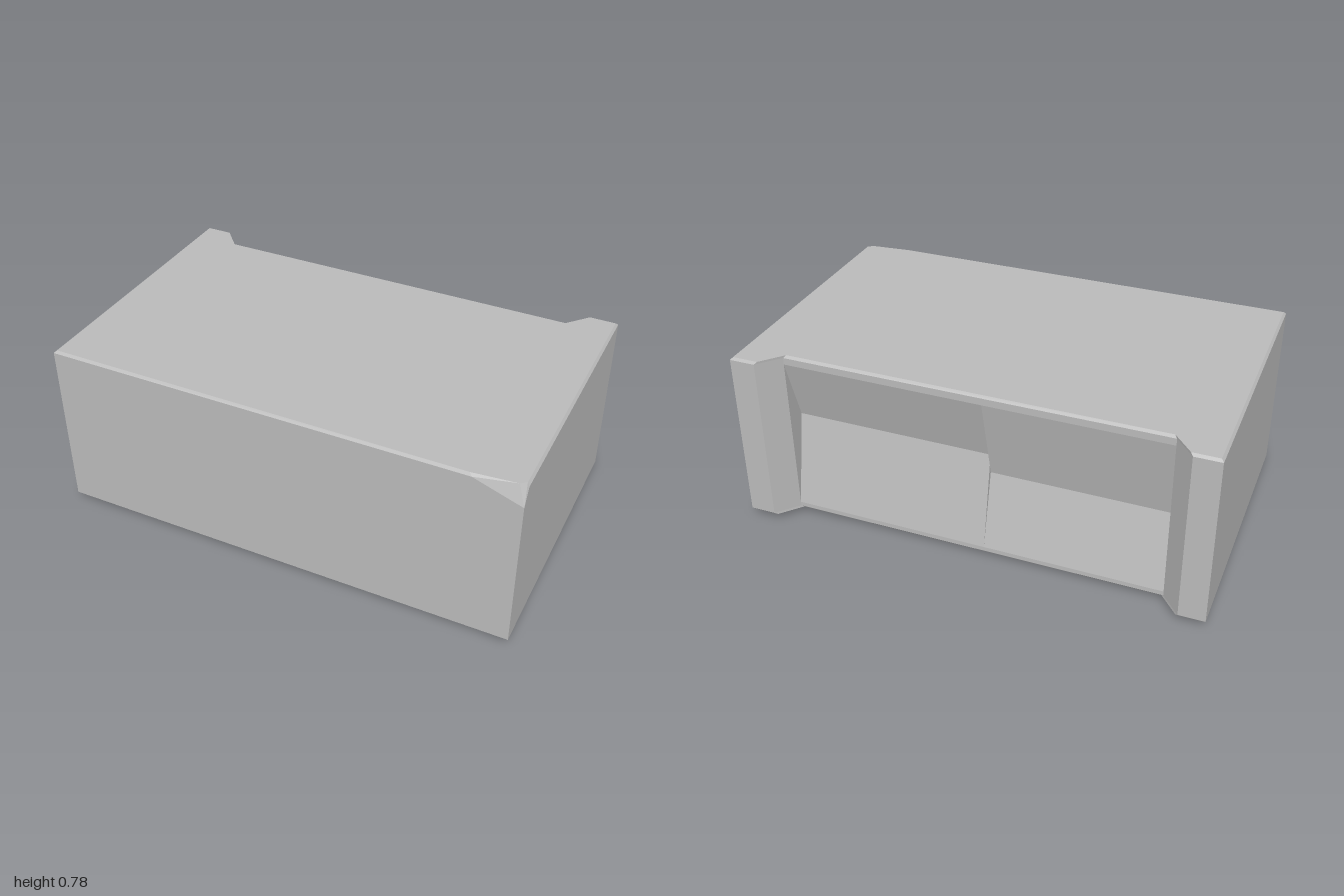
import * as THREE from 'three';

// Flat-shaded mesh from a list of quads / triangles (corners counter-clockwise)
function facesMesh(name, faces, material) {
  const pos = [];
  for (const f of faces)
    for (let i = 1; i < f.length - 1; i++) pos.push(...f[0], ...f[i], ...f[i + 1]);
  const g = new THREE.BufferGeometry();
  g.setAttribute('position', new THREE.Float32BufferAttribute(pos, 3));
  g.computeVertexNormals();
  const mesh = new THREE.Mesh(g, material);
  mesh.name = name;
  return mesh;
}

export function createModel() {
  const group = new THREE.Group();
  group.name = 'block';
  const stone = new THREE.MeshStandardMaterial({ color: 0xbababa, side: THREE.DoubleSide });
  stone.name = 'stone grey';

  // Plan outline [x, z]: front edge, left side, back with two pillars, right side
  const outline = [
    [-1, 0.605], [0.8, 0.605], [1, 0.605], [1, 0.57], [1, -0.605], [0.89, -0.605],
    [0.81, -0.515], [-0.81, -0.515], [-0.89, -0.605], [-1, -0.605],
  ];
  const chip = 2, recess = 6; // chipped corner point, recessed back edge
  const ring = (y, inset) => outline.map(([x, z]) =>
    [x - Math.sign(x) * inset, y, z - Math.sign(z) * inset]);
  const rings = [ring(0.026, 0.01), ring(0.036, 0), ring(0.77, 0), ring(0.78, 0.01)];
  rings[2][chip] = [1, 0.7, 0.605];
  rings[3][chip] = [0.968, 0.78, 0.578];

  // Walls with bevelled rims, leaving the recess open
  const walls = [];
  for (let r = 0; r < 3; r++)
    for (let i = 0; i < outline.length; i++) {
      if (r === 1 && i === recess) continue;
      const j = (i + 1) % outline.length;
      walls.push([rings[r][i], rings[r][j], rings[r + 1][j], rings[r + 1][i]]);
    }
  group.add(facesMesh('walls', walls, stone));

  // Top and underside caps
  const cap = (loop, flip) => THREE.ShapeUtils
    .triangulateShape(loop.map(p => new THREE.Vector2(p[0], -p[2])), [])
    .map(([a, b, c]) => (flip ? [loop[a], loop[c], loop[b]] : [loop[a], loop[b], loop[c]]));
  group.add(facesMesh('top', cap(rings[3], false), stone));
  group.add(facesMesh('underside', cap(rings[0], true), stone));

  // Recessed back: a shallow V groove in two halves with different crease heights
  const mid = -0.05, zOut = -0.515, zIn = -0.43, low = 0.055, high = 0.74;
  const back = [];
  for (const [a, b, crease] of [[0.81, mid, 0.46], [mid, -0.81, 0.375]]) {
    const rows = [[0.036, zOut], [low, zOut], [crease, zIn], [high, zOut], [0.77, zOut]];
    for (let k = 0; k < 4; k++) {
      const [y0, z0] = rows[k], [y1, z1] = rows[k + 1];
      back.push([[a, y0, z0], [b, y0, z0], [b, y1, z1], [a, y1, z1]]);
    }
  }
  back.push([[0.81, low, zOut], [0.81, 0.46, zIn], [0.81, high, zOut]]);
  back.push([[-0.81, low, zOut], [-0.81, high, zOut], [-0.81, 0.375, zIn]]);
  // Step between the halves
  back.push([[mid, 0.375, zIn], [mid, 0.46, zIn], [mid, high, zOut]]);
  back.push([[mid, low, zOut], [mid, 0.46, zIn], [mid, 0.375, zIn]]);
  group.add(facesMesh('backRecess', back, stone));

  // Shallow bulges under the block; tip is the lowest rectangle or ridge
  const bulge = (name, [x0, x1], [t0, t1]) => {
    const rect = (a, b, y, z0, z1) => [[a, y, z0], [b, y, z0], [b, y, z1], [a, y, z1]];
    const base = rect(x0, x1, 0.026, -0.5, 0.59);
    const tip = rect(t0, t1, 0, -0.14, 0.53);
    const faces = [tip];
    for (let i = 0; i < 4; i++) {
      const j = (i + 1) % 4;
      faces.push([base[i], base[j], tip[j], tip[i]]);
    }
    group.add(facesMesh(name, faces, stone));
  };
  bulge('leftBulge', [-0.05, 0.81], [-0.025, 0.67]);
  bulge('rightBulge', [-0.81, -0.05], [-0.67, -0.64]);

  return group;
}
